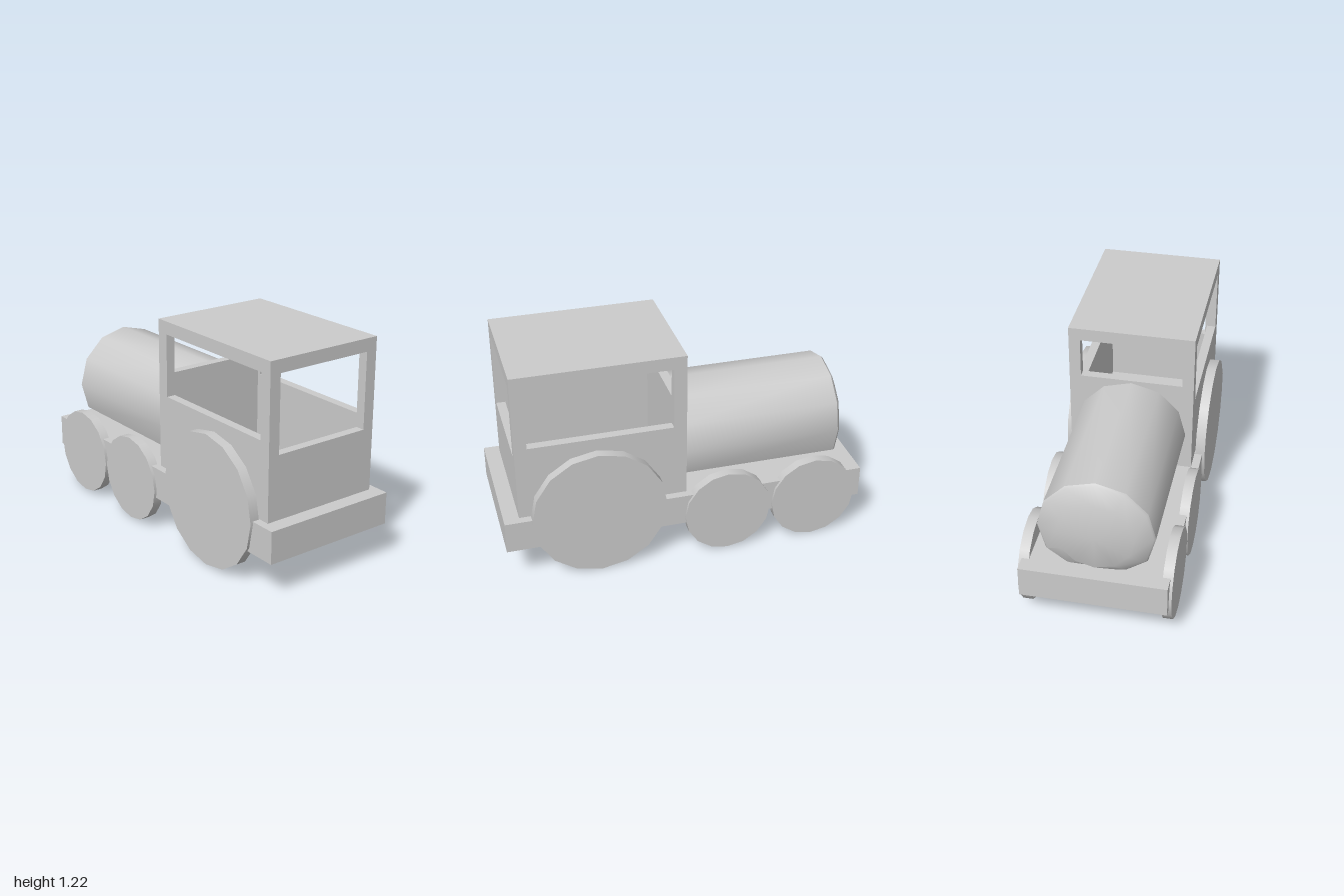
import * as THREE from 'three';
import { toCreasedNormals } from 'three/addons/utils/BufferGeometryUtils.js';

const T = 0.05; // cab wall thickness

export function createModel() {
  const model = new THREE.Group();
  const solid = new THREE.MeshStandardMaterial({ color: 0xcccccc });
  const thin = new THREE.MeshStandardMaterial({ color: 0xcccccc, side: THREE.DoubleSide });

  const add = (name, geometry, parent = model, material = solid) => {
    const mesh = new THREE.Mesh(geometry, material);
    mesh.name = name;
    parent.add(mesh);
  };

  // Chassis: thin shell, open below
  const chassis = new THREE.Group();
  chassis.name = 'chassis';
  model.add(chassis);
  const W = 0.387, bottom = 0.205, deckY = 0.382, H = deckY - bottom, midY = (deckY + bottom) / 2;
  add('deck', new THREE.PlaneGeometry(2 * W, 2).rotateX(-Math.PI / 2).translate(0, deckY, 0), chassis, thin);
  for (const s of [-1, 1]) {
    const end = new THREE.PlaneGeometry(2 * W, H);
    if (s < 0) end.rotateY(Math.PI);
    add(s > 0 ? 'frontPlate' : 'backPlate', end.translate(0, midY, s), chassis, thin);
    const side = new THREE.PlaneGeometry(2, H).rotateY(s * Math.PI / 2);
    add(s > 0 ? 'leftPlate' : 'rightPlate', side.translate(s * W, midY, 0), chassis, thin);
  }

  // Cab: four walls with windows, let a little way through the deck, and a flat roof
  const cab = new THREE.Group();
  cab.name = 'cab';
  model.add(cab);
  const cw = 0.343, cz = 0.917, roofY = 1.215, top = roofY - T, foot = 0.345;
  const points = ([x0, y0, x1, y1]) => [[x0, y0], [x1, y0], [x1, y1], [x0, y1]].map((p) => new THREE.Vector2(...p));
  const wall = (outer, hole) => {
    const shape = new THREE.Shape(points(outer));
    shape.holes.push(new THREE.Path(points(hole).reverse()));
    return new THREE.ExtrudeGeometry(shape, { depth: T, bevelEnabled: false });
  };
  add('cabFrontWall', wall([-cw, foot, cw, top], [-0.28, 0.73, 0.28, 1.145]).translate(0, 0, cz - T), cab);
  add('cabBackWall', wall([-cw, foot, cw, top], [-0.28, 0.92, 0.28, 1.145]), cab);
  for (const s of [-1, 1]) {
    const side = wall([-cz + T, foot, -T, top], [-0.85, 0.8, -0.07, 1.145]).rotateY(Math.PI / 2);
    add(s > 0 ? 'cabLeftWall' : 'cabRightWall', side.translate(s > 0 ? cw - T : -cw, 0, 0), cab);
  }
  add('roof', new THREE.BoxGeometry(2 * cw, T, cz).translate(0, roofY - T / 2, cz / 2), cab);

  // Boiler: lying 12-sided barrel with a shallow domed end
  const profile = [[0, 0], [0.305, 0], [0.305, 0.882], [0.295, 0.893], [0.2, 0.933], [0, 0.948]]
    .map((p) => new THREE.Vector2(...p));
  const boiler = new THREE.LatheGeometry(profile, 12).rotateX(-Math.PI / 2).translate(0, 0.602, 0);
  // Flatten its underside where it rests in the deck
  const pos = boiler.attributes.position;
  for (let i = 0; i < pos.count; i++) pos.setY(i, Math.max(pos.getY(i), 0.375));
  add('boiler', toCreasedNormals(boiler, 0.6));

  // Wheels: 16-sided discs in three pairs
  const axles = [['large', 0.367, 0.367, 0.49], ['middle', 0.243, 0.247, -0.223], ['rear', 0.243, 0.247, -0.72]];
  for (const [name, r, y, z] of axles) {
    for (const s of [-1, 1]) {
      const wheel = new THREE.CylinderGeometry(r, r, 0.054, 16).rotateZ(Math.PI / 2);
      add(`${name}${s > 0 ? 'Left' : 'Right'}Wheel`, wheel.translate(s * 0.375, y, z));
    }
  }
  return model;
}
